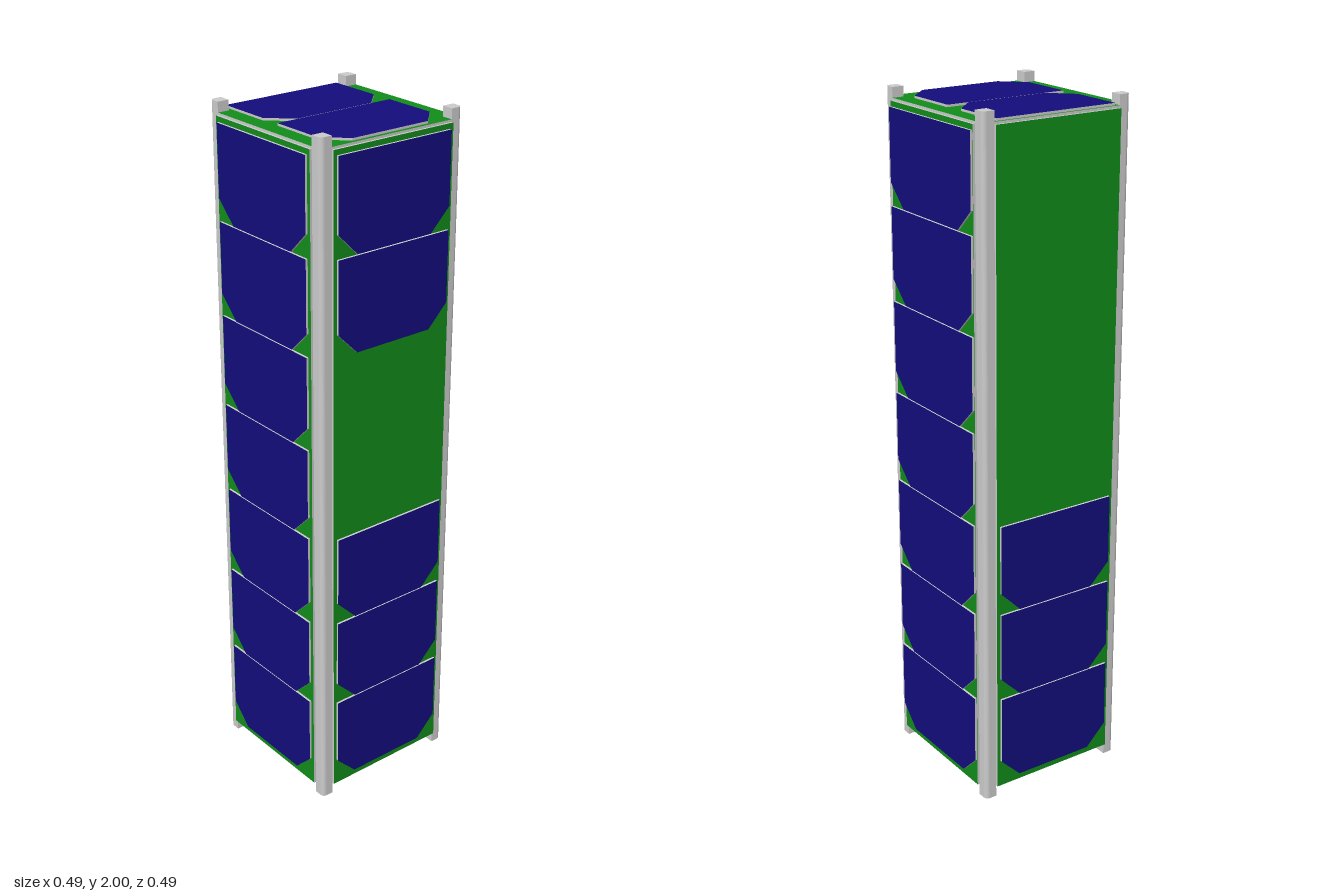
import * as THREE from 'three';

const grey = new THREE.MeshStandardMaterial({ color: 0xcccccc });
const green = new THREE.MeshStandardMaterial({ color: 0x118c1a });
const blue = new THREE.MeshStandardMaterial({ color: 0x130c7c });

const THICK = 0.0065; // thickness of boards and cells
const OUT = 0.233;    // outer face of the frame
const IN = 0.198;     // inner edge of the corner rails
const BOTTOM = 0.035, TOP = 1.965;

// Flat plate in XY, growing toward +z: coloured faces, bare grey edges
function plate(name, points, color) {
  const shape = new THREE.Shape(points.map(([x, y]) => new THREE.Vector2(x, y)));
  const geometry = new THREE.ExtrudeGeometry(shape, { depth: THICK, bevelEnabled: false });
  const mesh = new THREE.Mesh(geometry, [color, grey]);
  mesh.name = name;
  return mesh;
}

// Solar cell with its two lower corners cut off
function solarCell(halfWidth, low, high) {
  const c = 0.063;
  return plate('solarCell', [
    [-halfWidth + c, low], [halfWidth - c, low], [halfWidth, low + c],
    [halfWidth, high], [-halfWidth, high], [-halfWidth, low + c],
  ], blue);
}

// Side board carrying cells on the given rows, counted from the bottom
function sidePanel(name, angle, halfWidth, rows) {
  const panel = new THREE.Group();
  panel.name = name;
  const board = plate('circuitBoard', [[-IN, BOTTOM], [IN, BOTTOM], [IN, TOP], [-IN, TOP]], green);
  board.position.z = OUT;
  panel.add(board);
  for (const row of rows) {
    const low = 0.056 + row * 0.271;
    const cell = solarCell(halfWidth, low, low + 0.268);
    cell.position.z = OUT + THICK;
    panel.add(cell);
  }
  panel.rotation.y = angle;
  return panel;
}

// End board: a square with its corners notched for the rails
function endBoard(name) {
  return plate(name, [
    [-IN, -OUT], [IN, -OUT], [IN, -IN], [OUT, -IN], [OUT, IN], [IN, IN],
    [IN, OUT], [-IN, OUT], [-IN, IN], [-OUT, IN], [-OUT, -IN], [-IN, -IN],
  ], green);
}

// Corner rail with a rounded outer edge
function cornerRail(index) {
  const r = 0.013;
  const shape = new THREE.Shape();
  shape.moveTo(IN, IN);
  shape.lineTo(OUT, IN);
  shape.lineTo(OUT, OUT - r);
  shape.absarc(OUT - r, OUT - r, r, 0, Math.PI / 2, false);
  shape.lineTo(IN, OUT);
  shape.closePath();
  const geometry = new THREE.ExtrudeGeometry(shape, { depth: 2, bevelEnabled: false, curveSegments: 8 });
  geometry.rotateX(-Math.PI / 2);
  const rail = new THREE.Mesh(geometry, grey);
  rail.name = 'cornerRail' + (index + 1);
  rail.rotation.y = index * Math.PI / 2;
  return rail;
}

export function createModel() {
  const model = new THREE.Group();
  model.name = 'cubeSatellite';

  for (let i = 0; i < 4; i++) model.add(cornerRail(i));

  // Four sides: full rows on the flanks, partial rows front and back
  const all = [0, 1, 2, 3, 4, 5, 6];
  model.add(
    sidePanel('frontPanel', 0, 0.187, [0, 1, 2, 5, 6]),
    sidePanel('leftPanel', Math.PI / 2, 0.196, all),
    sidePanel('backPanel', Math.PI, 0.187, [0, 1, 2]),
    sidePanel('rightPanel', -Math.PI / 2, 0.187, all),
  );

  // Top board with two cells, clipped corners toward the front
  const top = new THREE.Group();
  top.name = 'topPanel';
  top.add(endBoard('topBoard'));
  for (const low of [-0.223, 0.003]) {
    const cell = solarCell(0.187, low, low + 0.224);
    cell.position.z = THICK;
    top.add(cell);
  }
  top.rotation.x = -Math.PI / 2;
  top.position.y = TOP;
  model.add(top);

  // Bare board closing the underside
  const bottom = endBoard('bottomBoard');
  bottom.rotation.x = Math.PI / 2;
  bottom.position.y = BOTTOM + THICK;
  model.add(bottom);

  return model;
}
